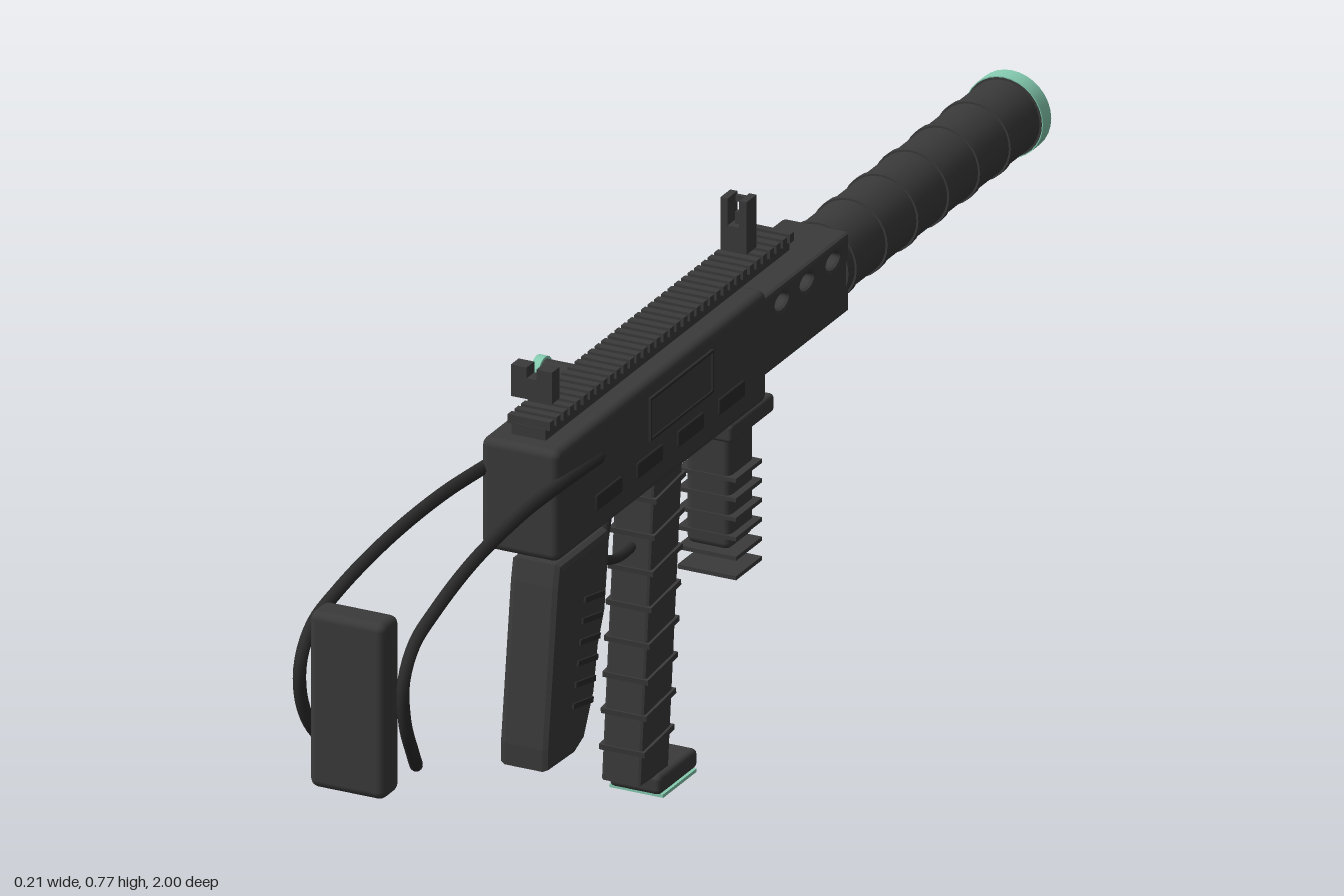
import * as THREE from 'three';
import { RoundedBoxGeometry } from 'three/addons/geometries/RoundedBoxGeometry.js';

const CX = 0.015; // the model's own mirror plane
const V = (x, y, z) => new THREE.Vector3(x, y, z);

export function createModel() {
  const root = new THREE.Group();
  const paint = (name, color, side = THREE.FrontSide) => {
    const m = new THREE.MeshStandardMaterial({ color, side });
    m.name = name;
    return m;
  };
  const dark = paint('charcoal', 0x3a3a3a);
  const black = paint('black', 0x2b2b2b);
  const mint = paint('mint', 0x86cdb2);

  const add = (name, geo, mat = dark, x = CX, y = 0, z = 0) => {
    const m = new THREE.Mesh(geo, mat);
    m.name = name;
    m.position.set(x, y, z);
    root.add(m);
    return m;
  };
  // box from its extents in y and z, centred on the mirror plane
  const block = (name, w, y0, y1, z0, z1, r = 0, mat = dark, x = CX) => {
    const h = y1 - y0, d = z1 - z0;
    const geo = r ? new RoundedBoxGeometry(w, h, d, 2, r) : new THREE.BoxGeometry(w, h, d);
    return add(name, geo, mat, x, (y0 + y1) / 2, (z0 + z1) / 2);
  };
  // side profile of [z, y] points extruded across the width
  const profile = (name, pts, w, bevel, holes = [], mat = dark) => {
    const s = new THREE.Shape(pts.map(([z, y]) => new THREE.Vector2(-z, y)));
    for (const [z, y, rx, ry] of holes) {
      const h = new THREE.Path();
      h.absellipse(-z, y, rx, ry, 0, Math.PI * 2, true);
      s.holes.push(h);
    }
    const depth = w - 2 * bevel;
    const geo = new THREE.ExtrudeGeometry(s, {
      depth, bevelEnabled: true, bevelSize: bevel, bevelThickness: bevel,
      bevelOffset: holes.length ? 0 : -bevel, bevelSegments: 2, curveSegments: 10,
    });
    geo.translate(0, 0, -depth / 2).rotateY(Math.PI / 2);
    return add(name, geo, mat);
  };
  const tube = (name, pts, r, mat, seg = 48) =>
    add(name, new THREE.TubeGeometry(new THREE.CatmullRomCurve3(pts), seg, r, 8), mat, 0);

  // Receiver with side slots and port frame
  block('receiver', 0.12, 0.488, 0.654, -0.15, 0.48, 0.012);
  for (const side of [-1, 1]) {
    const x = CX + side * 0.06;
    for (const z of [0.33, 0.207, 0.085, -0.038])
      block('sideSlot', 0.006, 0.524, 0.548, z - 0.038, z + 0.038, 0.0025, black, x);
  }
  const px = CX + 0.06;
  block('portCover', 0.004, 0.571, 0.627, 0.025, 0.205, 0, dark, px);
  for (const y of [0.567, 0.627]) block('portFrame', 0.008, y, y + 0.004, 0.02, 0.21, 0, black, px);
  for (const z of [0.02, 0.206]) block('portFrame', 0.008, 0.567, 0.631, z, z + 0.004, 0, black, px);

  // Toothed top rail
  block('railBase', 0.052, 0.655, 0.672, -0.28, 0.452);
  for (let i = 0; i < 37; i++) {
    const z = 0.445 - i * 0.02;
    block('railTooth', 0.065, 0.67, 0.683, z - 0.006, z + 0.006);
  }

  // Sights: notched block and pronged post
  block('rearSight', 0.063, 0.707, 0.738, 0.42, 0.443);
  for (const s of [-1, 1]) {
    block('rearSightEar', 0.024, 0.738, 0.754, 0.42, 0.443, 0, dark, CX + s * 0.0195);
    block('frontSightProng', 0.011, 0.725, 0.77, -0.193, -0.163, 0, dark, CX + s * 0.0145);
  }
  block('frontSightBase', 0.04, 0.692, 0.73, -0.193, -0.163);
  block('frontSightPost', 0.006, 0.73, 0.748, -0.182, -0.174);
  block('frontSightBridge', 0.02, 0.757, 0.766, -0.193, -0.187);

  // Vented barrel shroud
  profile('barrelShroud', [[-0.14, 0.525], [-0.404, 0.525], [-0.404, 0.63], [-0.14, 0.63]], 0.104, 0.006,
    [-0.21, -0.285, -0.363].map((z) => [z, 0.611, 0.026, 0.017]));

  // Ringed front tube with coloured cap
  const ring = (name, r, z0, z1, mat = dark) =>
    add(name, new THREE.CylinderGeometry(r, r, z1 - z0, 32).rotateX(Math.PI / 2), mat, CX, 0.578, (z0 + z1) / 2);
  ring('frontTube', 0.0555, -0.98, -0.4);
  for (let i = 0; i < 7; i++) {
    const z = -0.425 - i * 0.0925;
    ring('tubeRing', 0.0585, z - 0.006, z + 0.006);
  }
  ring('tubeCap', 0.06, -1, -0.975, mint);

  // Ribbed foregrip
  block('foregripCollar', 0.1, 0.455, 0.482, -0.19, -0.06, 0.006);
  block('foregrip', 0.068, 0.283, 0.46, -0.16, -0.085, 0.01);
  for (let i = 0; i < 6; i++) {
    const y = 0.246 + i * 0.029;
    block('foregripRib', 0.09, y - 0.003, y + 0.003, -0.161, -0.083);
  }

  // Slanted magazine, ribs and foot
  profile('magazine', [[0.175, 0.032], [0.09, 0.028], [0.045, 0.5], [0.13, 0.5]], 0.062, 0.005);
  for (let i = 0; i < 8; i++) {
    const y = 0.083 + i * 0.052;
    const rib = block('magazineRib', 0.07, y - 0.004, y + 0.004, -0.045, 0.045);
    rib.position.z = 0.132 - (y - 0.03) * 0.0957;
    rib.rotation.x = 0.1;
  }
  block('magazineFoot', 0.08, 0.004, 0.033, 0.02, 0.135, 0.008);
  block('footPlate', 0.082, 0, 0.005, 0.028, 0.128, 0, mint);

  // Rear grip with side ridges
  profile('rearGrip', [[0.43, 0.462], [0.437, 0.43], [0.467, 0.2], [0.467, 0.168], [0.385, 0.165], [0.355, 0.177],
    [0.325, 0.235], [0.312, 0.3], [0.292, 0.345], [0.278, 0.45], [0.285, 0.462]], 0.078, 0.01);
  for (const s of [-1, 1]) for (let i = 0; i < 6; i++) {
    const y = 0.235 + i * 0.029, z = 0.368 - i * 0.007;
    const ridge = block('gripRidge', 0.006, y - 0.004, y + 0.004, z - 0.03, z + 0.03, 0, black, CX + s * 0.039);
    ridge.rotation.x = -0.2;
  }

  // Trigger and its guard
  tube('triggerGuard', [V(CX, 0.49, 0.275), V(CX, 0.44, 0.27), V(CX, 0.4, 0.247), V(CX, 0.375, 0.2),
    V(CX, 0.371, 0.15), V(CX, 0.378, 0.12)], 0.007, black, 24);
  tube('trigger', [V(CX, 0.49, 0.21), V(CX, 0.455, 0.214), V(CX, 0.432, 0.22), V(CX, 0.41, 0.228)], 0.007, black, 12);

  // Wire stock, mirrored about the model's plane, and shoulder pad; [offset, y, z]
  const wire = [[0.055, 0.597, 0.35], [0.06, 0.606, 0.48], [0.064, 0.61, 0.6], [0.069, 0.601, 0.75],
    [0.075, 0.577, 0.88], [0.078, 0.553, 0.95], [0.079, 0.51, 0.982], [0.079, 0.45, 0.978],
    [0.073, 0.39, 0.943], [0.054, 0.35, 0.895]];
  for (const s of [-1, 1]) {
    tube('stockWire', wire.map(([o, y, z]) => V(CX + s * o, y, z)), 0.0095, black, 64);
    for (const [o, y, z] of [wire[0], wire[wire.length - 1]])
      add('wireEnd', new THREE.SphereGeometry(0.0095, 8, 6), black, CX + s * o, y, z);
  }
  block('shoulderPad', 0.116, 0.335, 0.597, 0.95, 1, 0.012);

  // Side handle with coloured cap
  const knob = (name, r, x0, x1, mat) =>
    add(name, new THREE.CylinderGeometry(r, r, x1 - x0, 20).rotateZ(Math.PI / 2), mat, (x0 + x1) / 2, 0.63, 0.19);
  knob('sideHandle', 0.018, -0.096, -0.04, dark);
  knob('sideHandleCap', 0.022, -0.106, -0.093, mint);

  return root;
}
